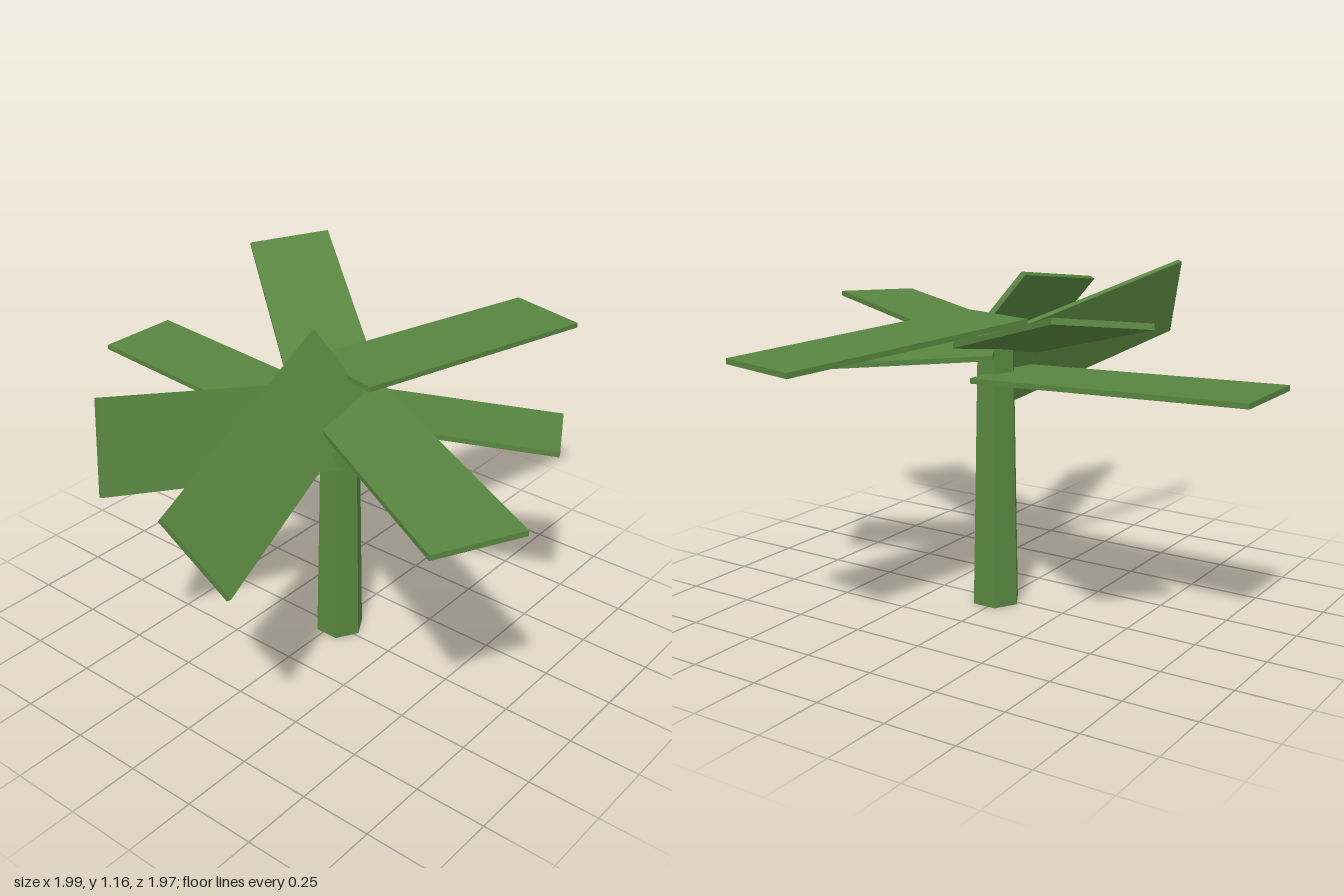
import * as THREE from 'three';

const AXIS = 0.015; // trunk centre in x and z

// One flat plank frond: its inner end sits on the trunk axis.
// baseY: height at the axis, tip: centre of the outer end, across: direction of the width
function makeFrond(material, baseY, tip, across) {
  const start = new THREE.Vector3(AXIS, baseY, AXIS);
  const end = new THREE.Vector3(...tip);
  const along = end.clone().sub(start);
  const length = along.length();
  along.normalize();
  const normal = new THREE.Vector3().crossVectors(along, new THREE.Vector3(...across)).normalize();
  const side = new THREE.Vector3().crossVectors(normal, along);

  const frond = new THREE.Mesh(new THREE.BoxGeometry(0.3, 0.018, length), material);
  frond.quaternion.setFromRotationMatrix(new THREE.Matrix4().makeBasis(side, normal, along));
  frond.position.copy(start).lerp(end, 0.5);
  return frond;
}

export function createModel() {
  const model = new THREE.Group();
  model.name = 'palmTree';
  const green = new THREE.MeshStandardMaterial({ color: 0x588540 });
  green.name = 'leafGreen';
  green.flatShading = true;

  // Six-sided tapered trunk
  const height = 0.93;
  const trunk = new THREE.Mesh(new THREE.CylinderGeometry(0.068, 0.087, height, 6), green);
  trunk.name = 'trunk';
  trunk.position.set(AXIS, height / 2, AXIS);
  model.add(trunk);

  // Crown of seven irregular fronds
  const fronds = [
    ['backFrond', 0.817, [0.035, 0.862, -0.98], [1, 0, 0]],
    ['backLeftFrond', 0.905, [0.602, 1.14, -0.72], [0.225, 0.03, 0.19]],
    ['leftFrond', 1.012, [0.962, 0.974, 0.22], [-0.065, 0, 0.29]],
    ['frontLeftFrond', 0.905, [0.37, 0.858, 0.655], [0.26, -0.015, -0.14]],
    ['frontRightFrond', 0.938, [-0.482, 0.96, 0.91], [0.265, 0.01, 0.14]],
    ['rightFrond', 1.04, [-0.957, 0.893, 0.297], [0.085, -0.235, 0.165]],
    ['backRightFrond', 0.822, [-0.815, 0.997, -0.24], [-0.08, -0.278, 0.08]],
  ];
  for (const [name, baseY, tip, across] of fronds) {
    const frond = makeFrond(green, baseY, tip, across);
    frond.name = name;
    model.add(frond);
  }
  return model;
}
